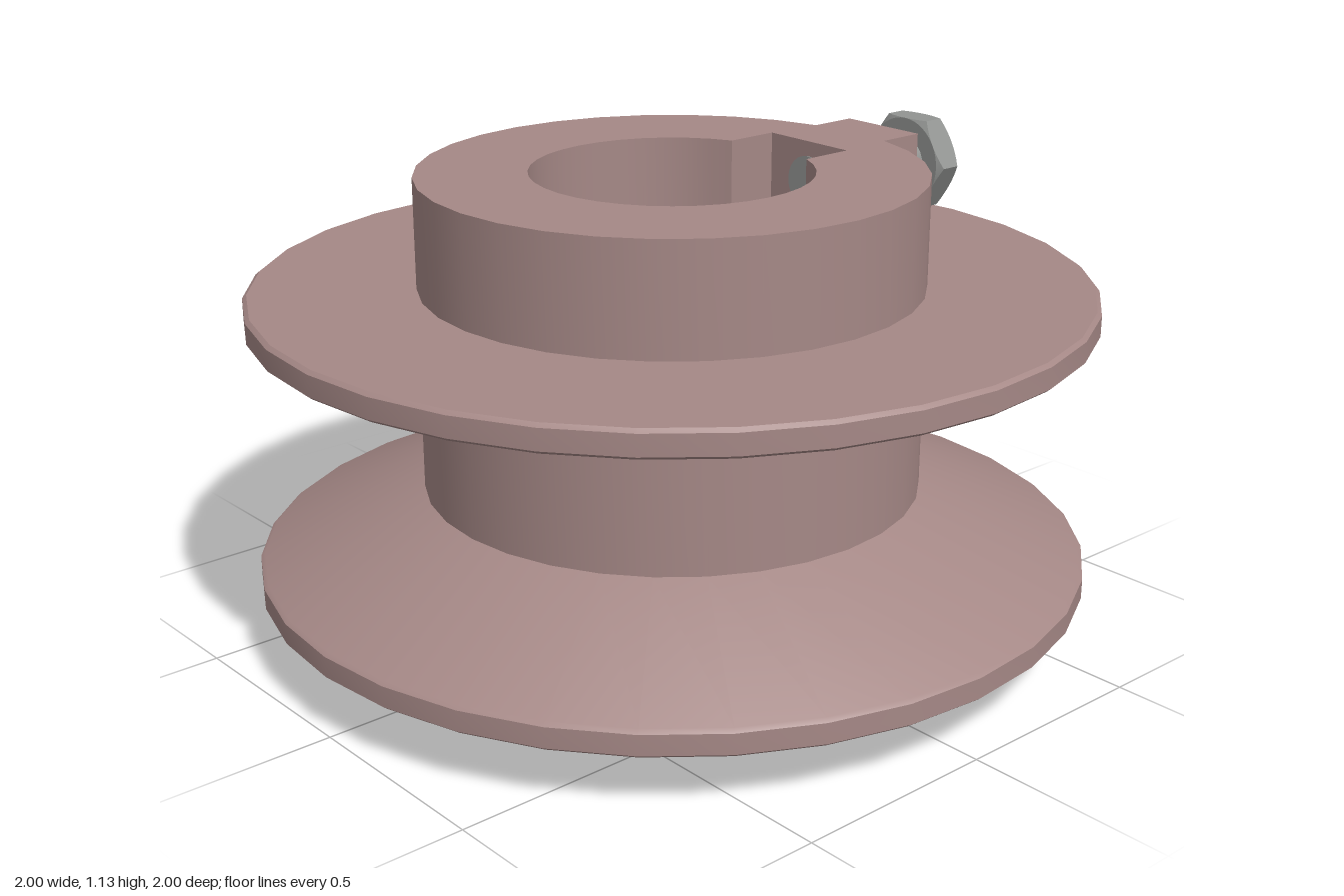
import * as THREE from 'three';
import { toCreasedNormals } from 'three/addons/utils/BufferGeometryUtils.js';

const SEGMENTS = 32;
const HUB_RADIUS = 0.6, HUB_TOP = 1.12;
const BORE_RADIUS = 0.335, KEY_HALF = 0.13, KEY_END = 0.445;
const BOLT_Y = 1.017;

const points = (list) => list.map(([x, y]) => new THREE.Vector2(x, y));

function addMesh(parent, name, geometry, material) {
  const mesh = new THREE.Mesh(geometry, material);
  mesh.name = name;
  parent.add(mesh);
  return mesh;
}

const lathe = (profile) =>
  toCreasedNormals(new THREE.LatheGeometry(points(profile), SEGMENTS), 0.5);

// Cylinder wall pierced by a round bore with a square keyway on +x
function hubGeometry() {
  const shape = new THREE.Shape().absarc(0, 0, HUB_RADIUS, 0, Math.PI * 2, false);
  const keyAngle = Math.asin(KEY_HALF / BORE_RADIUS);
  const bore = new THREE.Path();
  bore.moveTo(KEY_END, -KEY_HALF);
  bore.lineTo(KEY_END, KEY_HALF);
  bore.absarc(0, 0, BORE_RADIUS, keyAngle, Math.PI * 2 - keyAngle, false);
  bore.closePath();
  shape.holes.push(bore);
  const geometry = new THREE.ExtrudeGeometry(shape, {
    depth: HUB_TOP, bevelEnabled: false, curveSegments: SEGMENTS / 2,
  });
  geometry.rotateX(-Math.PI / 2);
  return toCreasedNormals(geometry, 0.5);
}

// Hexagonal head whose corners are turned down to a circle on both faces
function boltHeadGeometry(corner, height) {
  const flat = corner * Math.cos(Math.PI / 6);
  const columns = 48, rows = 6;
  const profile = [[0, 0], [flat, 0], [corner, 0], [corner, height], [flat, height], [0, height]];
  const geometry = new THREE.LatheGeometry(points(profile), columns);
  const position = geometry.attributes.position;
  for (let i = 0; i <= columns; i++) {
    const angle = (i / columns) * Math.PI * 2;
    const radius = flat / Math.cos((angle % (Math.PI / 3)) - Math.PI / 6);
    const drop = (radius - flat) * 0.6;
    for (const row of [2, 3]) {
      position.setXYZ(i * rows + row, Math.sin(angle) * radius,
        row === 2 ? drop : height - drop, Math.cos(angle) * radius);
    }
  }
  geometry.rotateZ(-Math.PI / 2);
  return toCreasedNormals(geometry, 0.4);
}

export function createModel() {
  const castIron = new THREE.MeshStandardMaterial({ color: 0xa58886 });
  castIron.name = 'castIron';
  const steel = new THREE.MeshStandardMaterial({ color: 0x929492 });
  steel.name = 'steel';

  const model = new THREE.Group();
  model.name = 'pulley';

  addMesh(model, 'hub', hubGeometry(), castIron);

  // Two flanges whose sloping inner faces form the belt groove
  const inner = HUB_RADIUS - 0.02;
  addMesh(model, 'lowerFlange', lathe([
    [inner, 0.14], [0.99, 0.14], [1, 0.148], [1, 0.197], [0.99, 0.205], [HUB_RADIUS, 0.36], [inner, 0.368],
  ]), castIron);
  addMesh(model, 'upperFlange', lathe([
    [inner, 0.627], [HUB_RADIUS, 0.635], [0.99, 0.79], [1, 0.798], [1, 0.847], [0.99, 0.855], [inner, 0.855],
  ]), castIron);

  // Block on the hub side that carries the set screw
  const bossBottom = 0.85;
  const boss = addMesh(model, 'setScrewBoss',
    new THREE.BoxGeometry(0.21, HUB_TOP - bossBottom, 0.236), castIron);
  boss.position.set(0.605, (HUB_TOP + bossBottom) / 2, 0);

  // Set screw running through the boss to the keyway
  const screw = new THREE.Group();
  screw.name = 'setScrew';
  screw.position.y = BOLT_Y;
  const shank = addMesh(screw, 'screwShank',
    new THREE.CylinderGeometry(0.066, 0.066, 0.36, 24).rotateZ(-Math.PI / 2), steel);
  shank.position.x = 0.622;
  const head = addMesh(screw, 'screwHead', boltHeadGeometry(0.13, 0.072), steel);
  head.position.x = 0.79;
  model.add(screw);

  return model;
}
